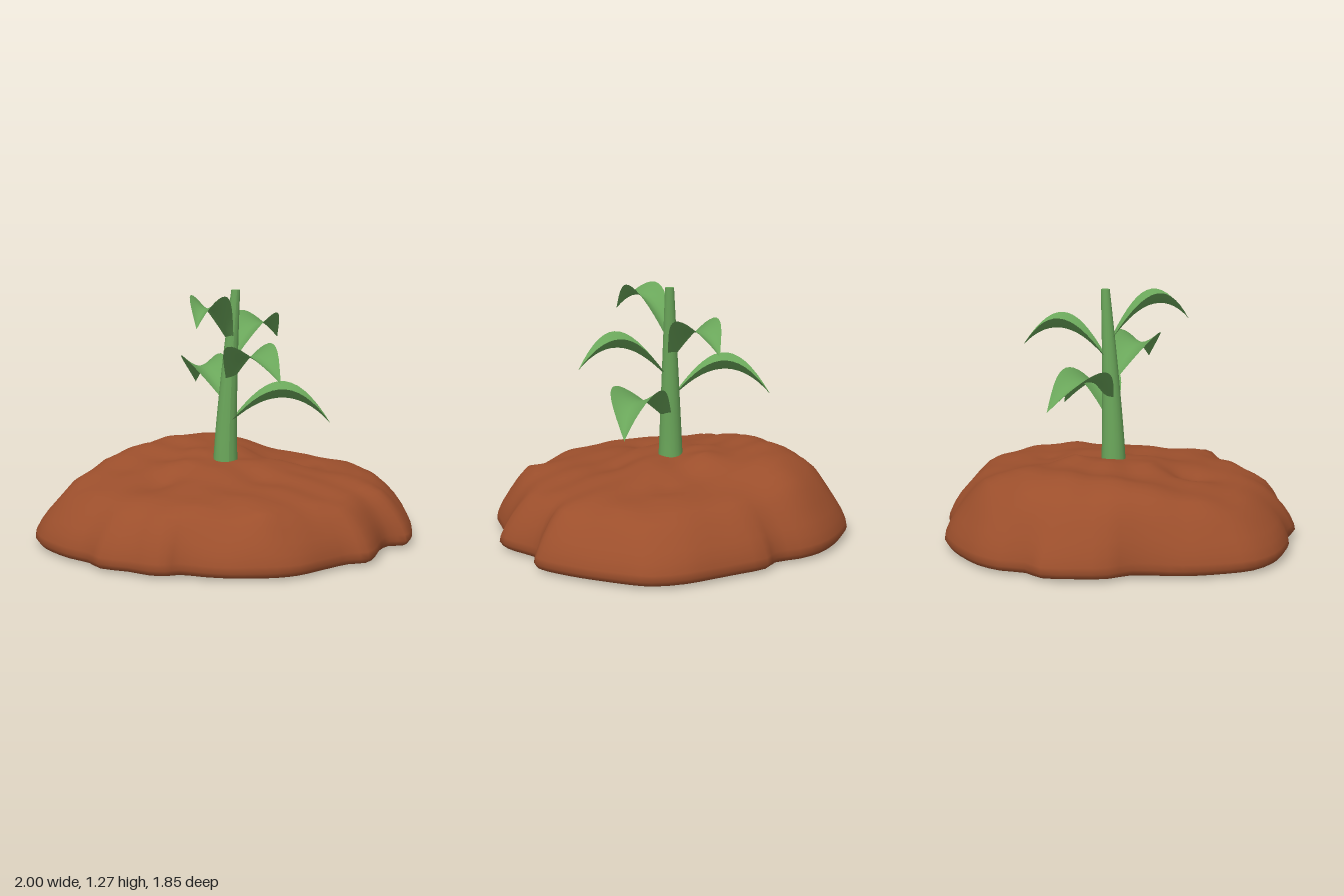
import * as THREE from 'three';

const soilMat = new THREE.MeshStandardMaterial({ color: 0x9c4f2c });
soilMat.name = 'soil brown';
const greenMat = new THREE.MeshStandardMaterial({ color: 0x6aa65a, side: THREE.DoubleSide });
greenMat.name = 'plant green';

// Smooth surface through a rows x cols grid of points; wrap joins last column to first
function gridSurface(rows, cols, wrap, point) {
  const pos = [], idx = [];
  for (let i = 0; i < rows; i++) for (let j = 0; j < cols; j++) pos.push(...point(i, j));
  const span = wrap ? cols : cols - 1;
  for (let i = 0; i < rows - 1; i++) for (let j = 0; j < span; j++) {
    const k = (j + 1) % cols;
    const a = i * cols + j, b = i * cols + k, c = a + cols, d = b + cols;
    idx.push(a, b, c, b, d, c);
  }
  const g = new THREE.BufferGeometry();
  g.setAttribute('position', new THREE.Float32BufferAttribute(pos, 3));
  g.setIndex(idx);
  g.computeVertexNormals();
  return g;
}

function mesh(name, geometry, material) {
  const m = new THREE.Mesh(geometry, material);
  m.name = name;
  return m;
}

// Lumpy mound outline (x, z), from +x towards +z
const outline = new THREE.CatmullRomCurve3([
  [1, 0], [0.985, 0.1], [0.95, 0.22], [0.91, 0.35], [0.86, 0.47], [0.81, 0.56], [0.77, 0.59], [0.69, 0.575],
  [0.62, 0.63], [0.55, 0.74], [0.47, 0.82], [0.38, 0.81], [0.28, 0.84], [0.18, 0.88], [0.08, 0.915],
  [-0.03, 0.92], [-0.14, 0.895], [-0.25, 0.86], [-0.36, 0.8], [-0.46, 0.73], [-0.53, 0.735], [-0.6, 0.7],
  [-0.68, 0.61], [-0.8, 0.52], [-0.83, 0.41], [-0.91, 0.3], [-0.97, 0.17], [-1, 0.05], [-0.99, -0.1],
  [-0.92, -0.22], [-0.82, -0.35], [-0.73, -0.43], [-0.58, -0.54], [-0.53, -0.66], [-0.42, -0.76],
  [-0.28, -0.86], [-0.17, -0.85], [-0.05, -0.91], [0.08, -0.925], [0.2, -0.9], [0.32, -0.86], [0.45, -0.79],
  [0.54, -0.69], [0.6, -0.57], [0.7, -0.53], [0.79, -0.4], [0.87, -0.28], [0.95, -0.16],
].map(([x, z]) => new THREE.Vector3(x, 0, z)), true);

// Mound profile: fraction of the outline, height; the last rows turn under the rim
const profile = [[0.001, 0.38], [0.08, 0.38], [0.16, 0.378], [0.24, 0.37], [0.32, 0.355], [0.4, 0.345],
  [0.48, 0.335], [0.56, 0.327], [0.64, 0.32], [0.72, 0.307], [0.79, 0.288], [0.85, 0.255], [0.9, 0.21],
  [0.945, 0.16], [0.975, 0.115], [0.995, 0.07], [1, 0.04], [0.985, 0.015], [0.92, 0.007], [0.6, 0.002],
  [0.001, 0]];

// Lumps and hollows: x, z, spread, height
const lumps = [[-0.46, -0.4, 0.17, 0.075], [-0.18, -0.52, 0.16, 0.05], [0.1, -0.53, 0.2, 0.08],
  [-0.1, -0.2, 0.08, 0.03], [0.12, -0.18, 0.07, 0.03], [-0.22, 0.03, 0.08, 0.025], [0.2, 0.08, 0.08, 0.015],
  [0.44, -0.02, 0.06, -0.03], [-0.4, 0.15, 0.06, -0.03], [-0.05, 0.78, 0.05, 0.035],
  [-0.55, 0.64, 0.06, 0.04], [0.72, -0.05, 0.13, 0.015], [0.45, 0.72, 0.07, 0.02],
  [0.1, 0.3, 0.1, -0.015], [-0.72, -0.1, 0.12, 0.02], [0.72, 0.5, 0.06, 0.02]];

function createSoil() {
  const cols = 96;
  const ring = Array.from({ length: cols }, (_, j) => outline.getPoint(j / cols));
  // Averaged outline, so rim lumps fade towards the middle
  const soft = ring.map((_, j) => {
    const mean = new THREE.Vector3();
    for (let k = -4; k <= 4; k++) mean.addScaledVector(ring[(j + k + cols) % cols], 1 / 9);
    return mean;
  });
  return mesh('soilMound', gridSurface(profile.length, cols, true, (i, j) => {
    const [s, h] = profile[i];
    const { x, z } = soft[j].clone().lerp(ring[j], s ** 7).multiplyScalar(s);
    let dy = 0.009 * Math.sin(9 * x + 2) * Math.cos(8 * z + 5 * x) + 0.008 * Math.sin(19 * z - 7 * x) * Math.sin(15 * x);
    for (const [lx, lz, w, a] of lumps) dy += a * Math.exp(-((x - lx) ** 2 + (z - lz) ** 2) / (2 * w * w));
    return [x, h + dy * Math.min(1, h / 0.25) ** 1.5, z];
  }), soilMat);
}

// Stem leans towards +x as it rises
const stemX = (y) => 0.055 * Math.max(0, (y - 0.4) / 0.87) ** 1.4;

function createStem() {
  const g = new THREE.CylinderGeometry(0.023, 0.067, 0.97, 16, 10);
  g.translate(0, 0.79, 0);
  const p = g.attributes.position;
  for (let i = 0; i < p.count; i++) p.setX(i, p.getX(i) + stemX(p.getY(i)));
  g.computeVertexNormals();
  return mesh('stem', g, greenMat);
}

// Arched leaf with a channelled cross-section
function createLeaf({ y0, tip, arch, bow, half }) {
  const x0 = stemX(y0);
  const dx = tip[0] - x0, dz = tip[2], len = Math.hypot(dx, dz);
  const px = -dz / len, pz = dx / len;
  return gridSurface(17, 9, false, (i, j) => {
    const t = i / 16, u = j / 4 - 1;
    const late = t ** 1.08;
    const hump = 4 * late * (1 - late);
    const w = Math.max(0, Math.sin(Math.PI * late));
    const side = bow * hump + u * (half * w + 0.014 * (1 - t));
    return [
      x0 + dx * t + px * side,
      y0 + (tip[1] - y0) * t + arch * hump + 0.065 * w * Math.abs(u) ** 1.6,
      dz * t + pz * side,
    ];
  });
}

const leaves = [
  { y0: 0.57, tip: [0.515, 0.585, 0.18], arch: 0.15, bow: 0.055, half: 0.122 },
  { y0: 0.69, tip: [-0.01, 0.72, -0.515], arch: 0.135, bow: -0.045, half: 0.106 },
  { y0: 0.79, tip: [0.14, 0.855, 0.46], arch: 0.135, bow: 0.035, half: 0.114 },
  { y0: 0.9, tip: [0.38, 0.985, -0.275], arch: 0.13, bow: 0, half: 0.108 },
  { y0: 1.0, tip: [-0.245, 1.12, 0.31], arch: 0.135, bow: 0.022, half: 0.087 },
];

export function createModel() {
  const model = new THREE.Group();
  model.name = 'seedlingInSoil';
  const plant = new THREE.Group();
  plant.name = 'plant';
  plant.add(createStem());
  leaves.forEach((leaf, i) => plant.add(mesh('leaf' + (i + 1), createLeaf(leaf), greenMat)));
  model.add(createSoil(), plant);
  return model;
}
